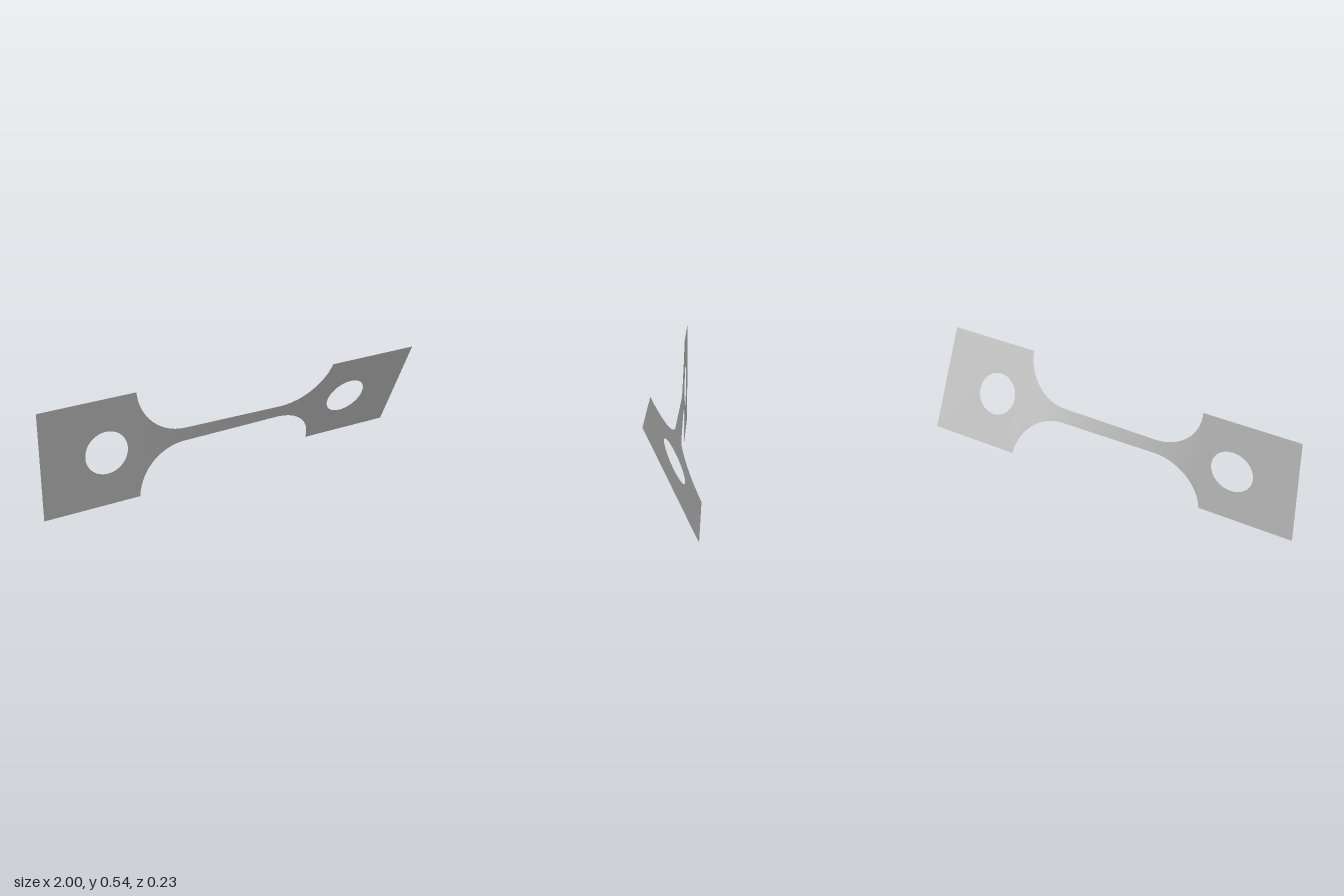
import * as THREE from 'three';

const MID = 0.271;      // height of the long axis, and half height of the end plates
const EDGE = 0.51;      // inner edge of the plates
const NECK = 0.036;     // half height of the neck
const R = 0.25;         // fillet radius
const TWIST = THREE.MathUtils.degToRad(25);

// Turn each point about the long axis, more and more along the neck
function twist(geometry) {
  const p = geometry.attributes.position;
  for (let i = 0; i < p.count; i++) {
    const x = p.getX(i), y = p.getY(i);
    const a = TWIST * THREE.MathUtils.clamp((x + 0.5) / 0.87, 0, 1);
    p.setXYZ(i, x, MID + y * Math.cos(a), y * Math.sin(a));
  }
  geometry.computeVertexNormals();
  return geometry;
}

// Flat end plate with a round hole
function plate(side) {
  const shape = new THREE.Shape();
  const a = Math.min(side * EDGE, side), b = Math.max(side * EDGE, side);
  shape.moveTo(a, -MID).lineTo(b, -MID).lineTo(b, MID).lineTo(a, MID).closePath();
  const hole = new THREE.Path();
  hole.absarc(side * 0.672, 0, 0.108, 0, Math.PI * 2, true);
  shape.holes.push(hole);
  return twist(new THREE.ShapeGeometry(shape, 32));
}

// Narrow neck flaring through round fillets into both plates
function neck() {
  const half = [];
  for (let i = 0; i < 12; i++) half.push([0.26 * i / 12, NECK]);
  for (let i = 0; i <= 28; i++) {
    const t = i / 28 * Math.PI / 2;
    half.push([0.26 + R * Math.sin(t), Math.min(MID, NECK + R * (1 - Math.cos(t)))]);
  }
  const columns = [...half.slice(1).reverse().map(([x, h]) => [-x, h]), ...half];
  const rows = 8;
  const g = new THREE.PlaneGeometry(1, 1, columns.length - 1, rows);
  const p = g.attributes.position;
  for (let i = 0; i < p.count; i++) {
    const [x, h] = columns[i % columns.length];
    p.setXY(i, x, p.getY(i) * 2 * h);
  }
  return twist(g);
}

export function createModel() {
  const model = new THREE.Group();
  model.name = 'twistedStrip';
  const metal = new THREE.MeshStandardMaterial({ color: 0xbfbfbf, side: THREE.DoubleSide });
  metal.name = 'grey metal';
  const add = (name, geometry) => {
    const mesh = new THREE.Mesh(geometry, metal);
    mesh.name = name;
    model.add(mesh);
  };
  add('rightPlate', plate(-1));
  add('leftPlate', plate(1));
  add('neck', neck());
  return model;
}
